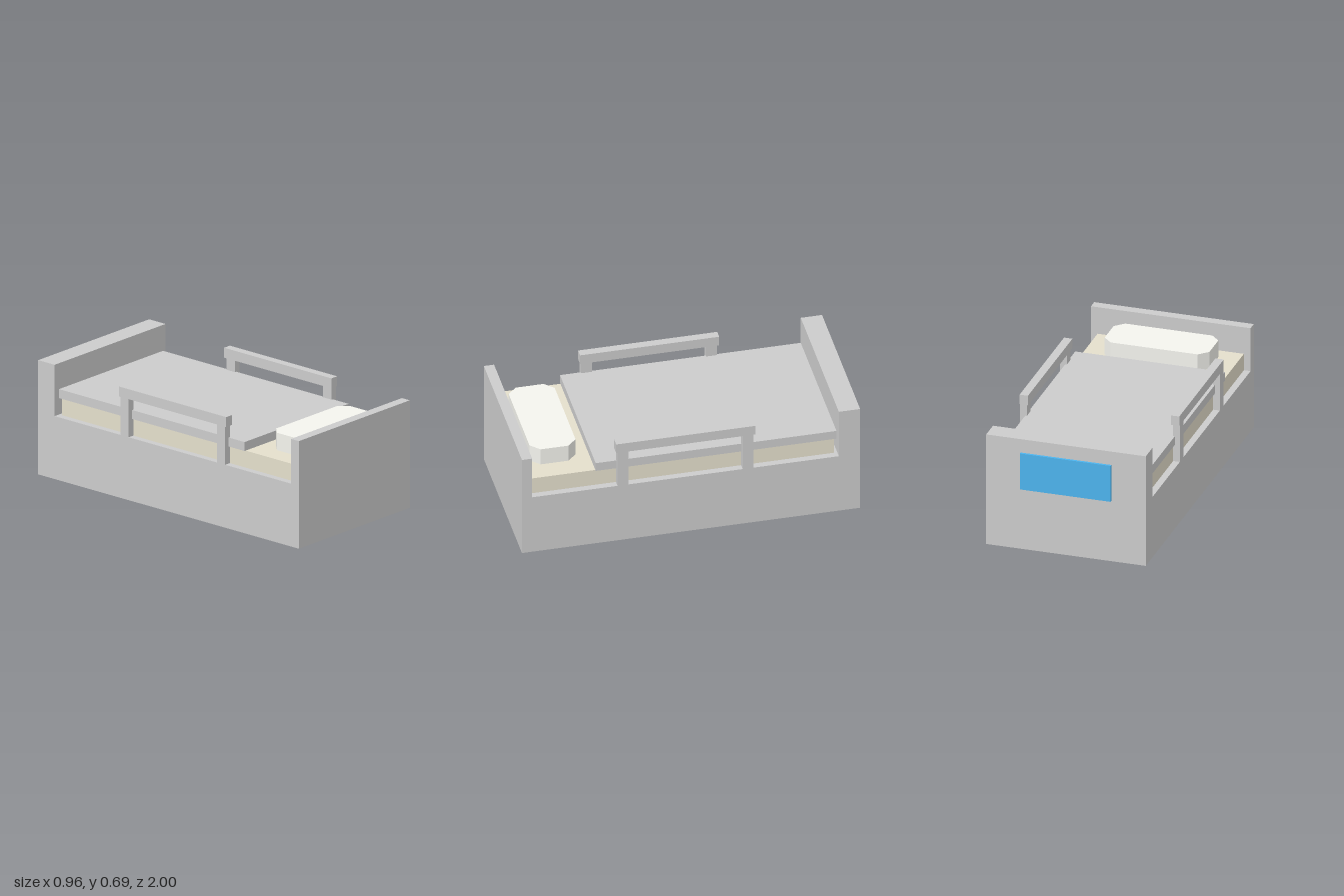
import * as THREE from 'three';

const material = (color) => new THREE.MeshStandardMaterial({ color, flatShading: true });

// Shape from a list of [x, y] corners
const outline = (points) => new THREE.Shape(points.map(([x, y]) => new THREE.Vector2(x, y)));

// Side profile drawn in (z, y), extruded along x and centred on x
function sideExtrude(shape, width, x = 0) {
  const geometry = new THREE.ExtrudeGeometry(shape, { depth: width, bevelEnabled: false });
  geometry.translate(0, 0, -width / 2);
  geometry.rotateY(-Math.PI / 2);
  geometry.translate(x, 0, 0);
  return geometry;
}

// Box given by its lower and upper limits
function boxBetween([x0, y0, z0], [x1, y1, z1]) {
  const geometry = new THREE.BoxGeometry(x1 - x0, y1 - y0, z1 - z0);
  geometry.translate((x0 + x1) / 2, (y0 + y1) / 2, (z0 + z1) / 2);
  return geometry;
}

export function createModel() {
  const model = new THREE.Group();
  model.name = 'bed';
  const grey = material(0xcccccc);
  const add = (name, geometry, mat, parent = model) => {
    const mesh = new THREE.Mesh(geometry, mat);
    mesh.name = name;
    parent.add(mesh);
  };

  // Solid base with headboard (+z) and taller, thicker footboard (-z)
  const frame = outline([
    [-0.985, 0], [1, 0], [1, 0.65], [0.94, 0.65],
    [0.94, 0.38], [-0.86, 0.38], [-0.86, 0.69], [-0.985, 0.69],
  ]);
  add('bedFrame', sideExtrude(frame, 0.96), grey);

  // Bedding
  add('mattress', boxBetween([-0.44, 0.38, -0.84], [0.44, 0.483, 0.94]), material(0xe4dfcc));
  add('blanket', boxBetween([-0.45, 0.483, -0.853], [0.45, 0.537, 0.56]), grey);

  // Pillow: a slab with cut corners
  const px = 0.315, pz = 0.135, cut = 0.053;
  const pillow = new THREE.ExtrudeGeometry(outline([
    [-px + cut, -pz], [px - cut, -pz], [px, -pz + cut], [px, pz - cut],
    [px - cut, pz], [-px + cut, pz], [-px, pz - cut], [-px, -pz + cut],
  ]), { depth: 0.105, bevelEnabled: false });
  pillow.rotateX(-Math.PI / 2);
  pillow.translate(0, 0.483, 0.77);
  add('pillow', pillow, material(0xf4f4ee));

  // Guard rails: a top bar on two posts on each side
  for (const side of [-1, 1]) {
    const rail = new THREE.Group();
    rail.name = side > 0 ? 'leftRail' : 'rightRail';
    model.add(rail);
    const bar = boxBetween([-0.025, 0.61, -0.37], [0.025, 0.67, 0.447]);
    add('railBar', bar.translate(side * 0.455, 0, 0), grey, rail);
    for (const z of [-0.328, 0.407]) {
      const post = boxBetween([-0.02, 0.38, z - 0.032], [0.02, 0.61, z + 0.032]);
      add('railPost', post.translate(side * 0.46, 0, 0), grey, rail);
    }
  }

  // Coloured plate on the outside of the footboard
  add('footPanel', boxBetween([-0.273, 0.38, -1], [0.273, 0.606, -0.985]), material(0x4db4ee));

  return model;
}
